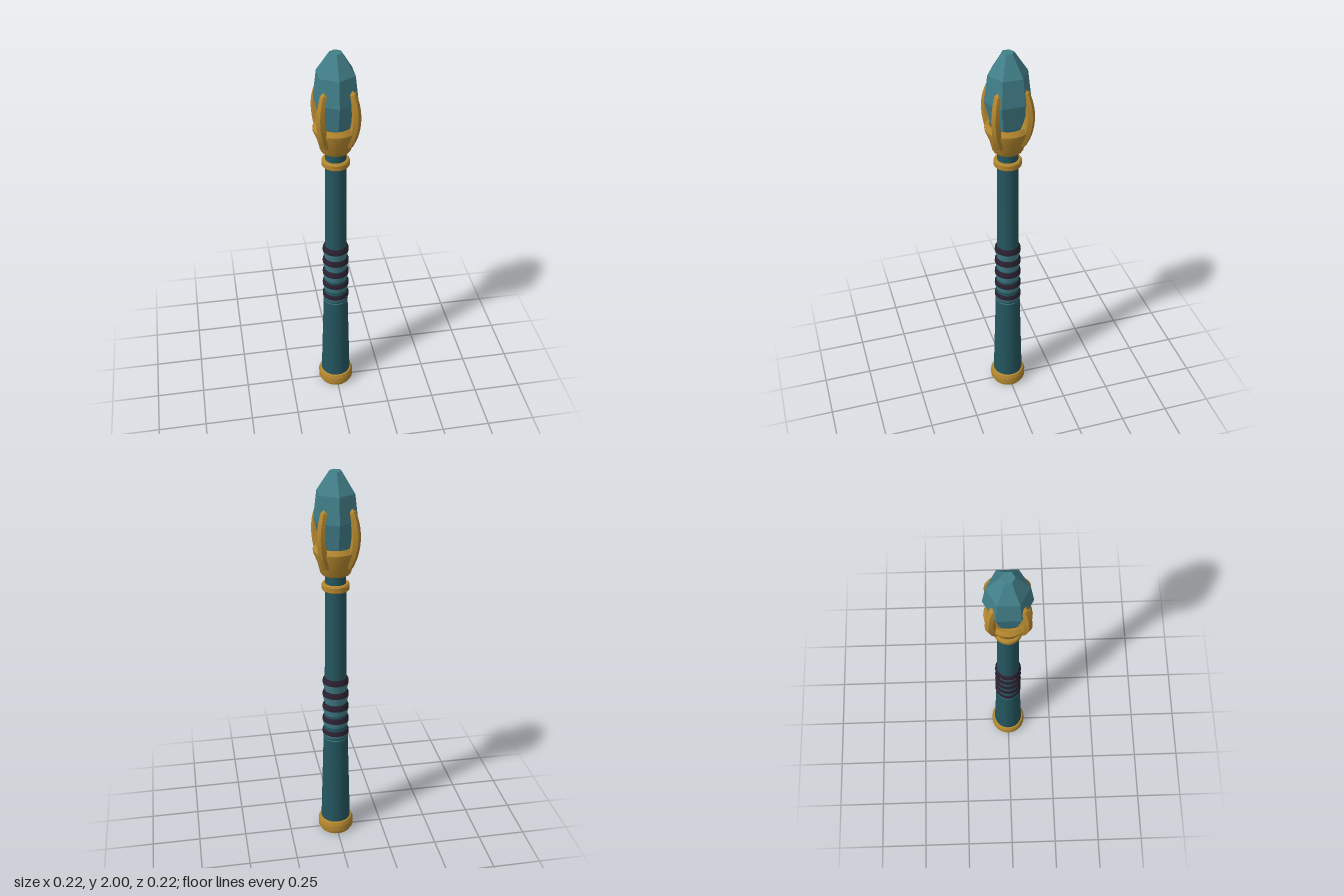
import * as THREE from 'three';
import { toCreasedNormals } from 'three/addons/utils/BufferGeometryUtils.js';

const material = (name, color) => {
  const m = new THREE.MeshStandardMaterial({ color });
  m.name = name;
  return m;
};

export function createModel() {
  const group = new THREE.Group();
  const darkTeal = material('dark teal', 0x24565f);
  const teal = material('teal', 0x427f89);
  const gold = material('gold', 0xb4872f);
  const plum = material('dark plum', 0x2b2030);

  const add = (name, geometry, mat, parent = group) => {
    const mesh = new THREE.Mesh(geometry, mat);
    mesh.name = name;
    parent.add(mesh);
    return mesh;
  };
  // Turned part from [radius, height] pairs, bottom to top
  const turned = (profile, sides = 24, crease = 0.45) => toCreasedNormals(
    new THREE.LatheGeometry(profile.map(([r, y]) => new THREE.Vector2(r, y)), sides), crease);

  // Tapered shaft
  add('shaft', turned([[0, 0.03], [0.078, 0.03], [0.078, 0.08], [0.064, 0.58], [0.056, 0.93],
    [0.052, 1.4], [0.05, 1.52], [0, 1.52]]), darkTeal);

  // Pommel and upper collar
  add('pommel', turned([[0, 0], [0.083, 0], [0.086, 0.013], [0.094, 0.019], [0.094, 0.054],
    [0.086, 0.073], [0.076, 0.076]]), gold);
  add('collar', turned([[0.05, 1.414], [0.062, 1.414], [0.068, 1.42], [0.068, 1.444],
    [0.062, 1.451], [0.05, 1.451]]), gold);

  // Ribbed grip: flared sleeves, each capped by a dark band
  const grip = new THREE.Group();
  grip.name = 'grip';
  group.add(grip);
  for (let i = 0; i < 5; i++) {
    const y = 0.612 + i * 0.0735;
    const r = 0.069 - i * 0.0005;
    const start = i === 0 ? 0.58 : y - 0.0435;
    add('gripSleeve', turned([[i === 0 ? r - 0.004 : r - 0.009, start], [r - 0.007, start + 0.012],
      [r - 0.001, y - 0.007], [r, y]], 24, 0.8), teal, grip);
    add('gripBand', turned([[r, y], [r - 0.001, y + 0.014], [r - 0.009, y + 0.03],
      [0.05, y + 0.031]], 24, 0.8), plum, grip);
  }

  // Flared cup with a bevelled rim and hollow inside
  add('cup', turned([[0.045, 1.5], [0.07, 1.5], [0.075, 1.508], [0.088, 1.56], [0.109, 1.612],
    [0.11, 1.623], [0.096, 1.645], [0.086, 1.642], [0.06, 1.57], [0, 1.56]]), gold);

  // Six-sided faceted gem
  add('gem', turned([[0, 1.56], [0.05, 1.56], [0.08, 1.64], [0.112, 1.77], [0.096, 1.9],
    [0.03, 2], [0, 2]], 6, 0.01), teal);

  // Four curved prongs: hexagonal tubes tapering to a closed tip
  const path = new THREE.CatmullRomCurve3([[0.073, 1.55], [0.1, 1.61], [0.116, 1.69],
    [0.112, 1.76], [0.087, 1.84]].map(([r, y]) => new THREE.Vector3(0, y, r)));
  const steps = 14;
  const sides = 6;
  const prong = new THREE.TubeGeometry(path, steps, 0.024, sides);
  const p = prong.attributes.position;
  const v = new THREE.Vector3();
  for (let i = 0; i < p.count; i++) {
    const ring = Math.floor(i / (sides + 1));
    const u = ring / steps;
    const scale = ring === steps ? 0 : 1 - 0.28 * u * u;
    const centre = path.getPointAt(u);
    v.fromBufferAttribute(p, i).sub(centre).multiplyScalar(scale).add(centre);
    p.setXYZ(i, v.x, v.y, v.z);
  }
  const prongGeometry = toCreasedNormals(prong, 0.5);
  for (let i = 0; i < 4; i++) {
    add('prong', prongGeometry, gold).rotation.y = Math.PI / 4 + i * Math.PI / 2;
  }
  return group;
}
